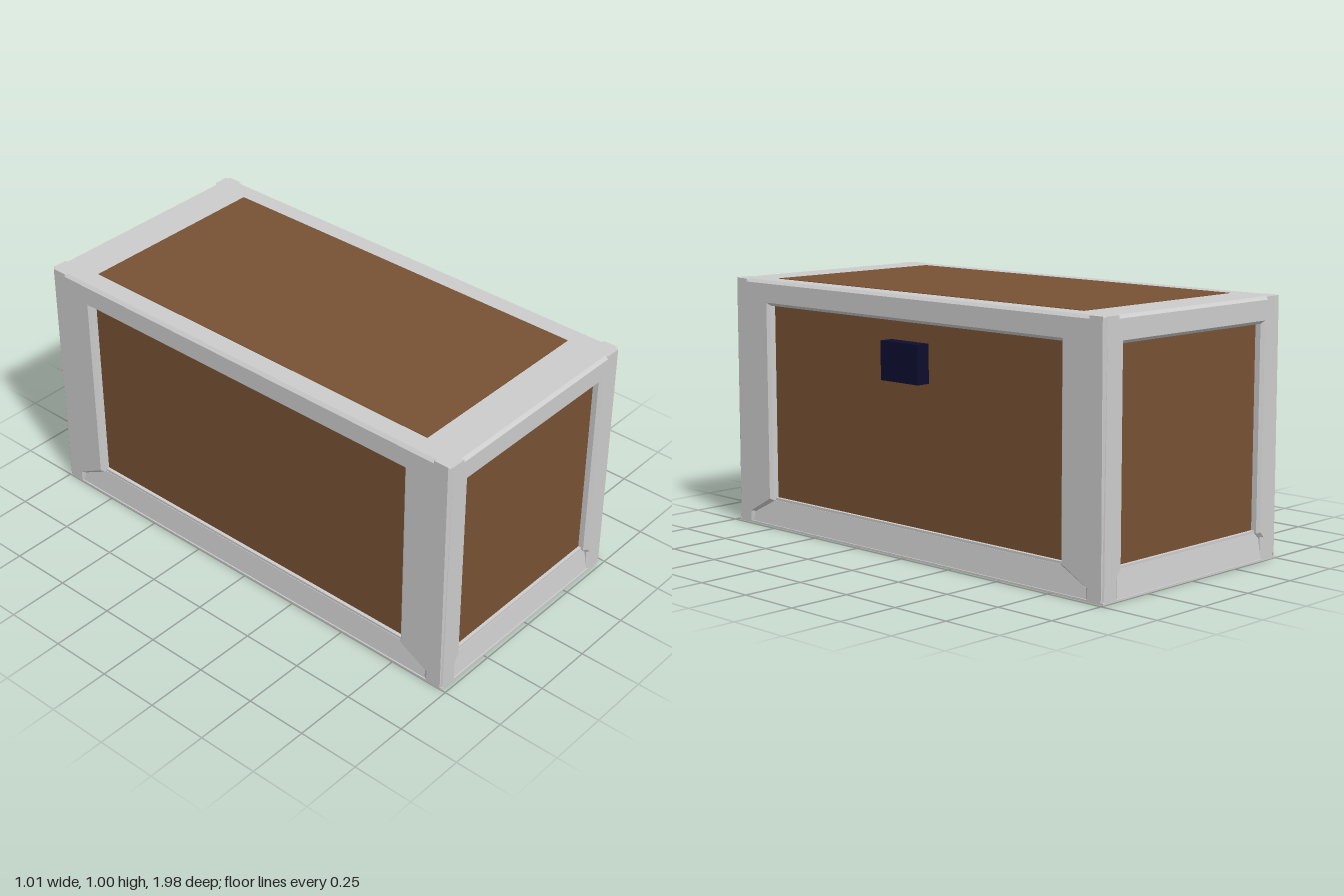
import * as THREE from 'three';

export function createModel() {
  const frameMat = new THREE.MeshStandardMaterial({ name: 'light grey frame', color: 0xcccccc });
  const panelMat = new THREE.MeshStandardMaterial({ name: 'brown panel', color: 0x775133 });
  const latchMat = new THREE.MeshStandardMaterial({ name: 'dark navy latch', color: 0x0d0d2f });

  const group = new THREE.Group();
  group.name = 'crate';
  const HX = 0.494, HZ = 0.99, BEVEL = 0.012, DEPTH = 0.06;

  const add = (parent, name, geometry, material, x = 0, y = 0, z = 0) => {
    const mesh = new THREE.Mesh(geometry, material);
    mesh.name = name;
    mesh.position.set(x, y, z);
    parent.add(mesh);
    return mesh;
  };
  const box = (w, h, d) => new THREE.BoxGeometry(w, h, d);
  const polygon = (points) => new THREE.Shape(points.map(([x, y]) => new THREE.Vector2(x, y)));

  // Posts and top rail as one bevelled arch, mitred at the foot
  const archGeometry = (w, o) => new THREE.ExtrudeGeometry(
    polygon([[-w, 0], [-o, 0.108], [-o, 0.9], [o, 0.9], [o, 0.108], [w, 0], [w, 1], [-w, 1]]),
    { depth: DEPTH, bevelThickness: BEVEL, bevelSize: BEVEL, bevelOffset: -BEVEL, bevelSegments: 1 }
  ).translate(0, 0, -DEPTH - BEVEL);

  // Bottom rail leaning back towards the panel
  const railGeometry = (w, o) => {
    const g = new THREE.ExtrudeGeometry(
      polygon([[-w, 0], [w, 0], [o, 0.108], [-o, 0.108]]),
      { depth: DEPTH, bevelEnabled: false }
    ).translate(0, 0, -DEPTH);
    const p = g.attributes.position;
    for (let i = 0; i < p.count; i++) p.setZ(i, p.getZ(i) - 0.004 - 0.14 * p.getY(i));
    g.computeVertexNormals();
    return g;
  };

  // Four walls: short ends at front and back, long walls at the sides
  const names = ['front', 'left', 'back', 'right'];
  names.forEach((name, i) => {
    const long = i % 2 === 1;
    const w = long ? HZ : HX, o = long ? 0.785 : 0.39;
    const wall = new THREE.Group();
    wall.name = name + 'Wall';
    wall.rotation.y = i * Math.PI / 2;
    const out = long ? HX : HZ;
    wall.position.set(Math.sin(wall.rotation.y) * out, 0, Math.cos(wall.rotation.y) * out);
    add(wall, name + 'Arch', archGeometry(w, o), frameMat);
    add(wall, name + 'BottomRail', railGeometry(w, o), frameMat);
    add(wall, name + 'Sill', box(2 * o, 0.012, 0.03), frameMat, 0, 0.112, -0.036);
    add(wall, name + 'Panel', box(2 * o + 0.04, 0.84, 0.02), panelMat, 0, 0.51, -0.045);
    group.add(wall);
  });

  // Closed base, lid and flush lid panel
  add(group, 'base', box(2 * HX, 0.008, 2 * HZ), frameMat, 0, 0.004, 0);
  add(group, 'lid', box(2 * (HX - BEVEL), 0.04, 2 * (HZ - BEVEL)), frameMat, 0, 0.98, 0);
  add(group, 'lidPanel', box(0.815, 0.004, 1.635), panelMat, 0, 1, 0);

  // Latch block on the left wall
  add(group, 'latch', box(0.06, 0.15, 0.2), latchMat, 0.486, 0.75, 0.003);

  group.position.set(-0.006, 0, -0.008);
  const model = new THREE.Group();
  model.name = 'model';
  model.add(group);
  return model;
}
